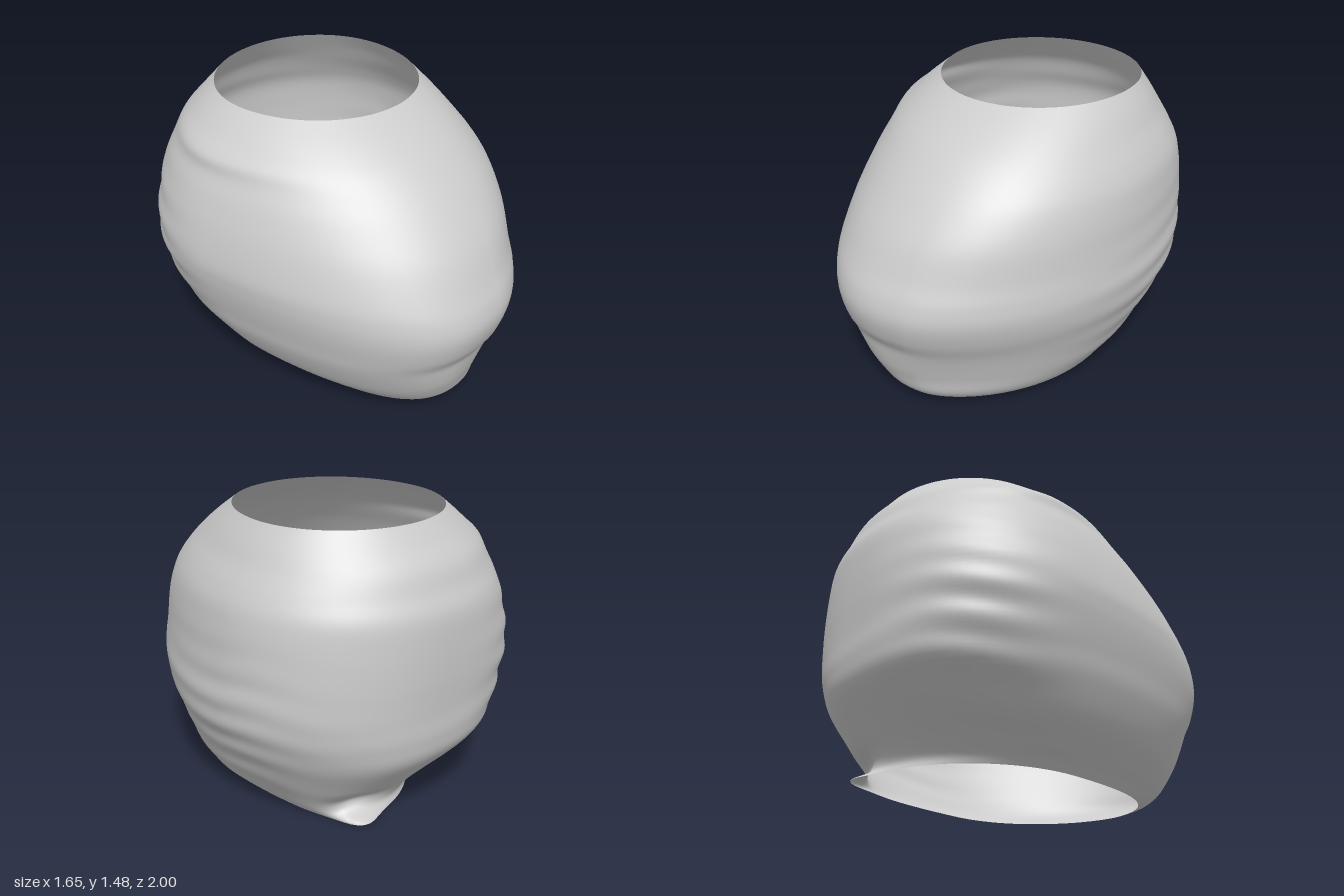
import * as THREE from 'three';

// Extents of the horizontal cross-sections, bottom to top: y, left x, right x, back z, front z
const SECTIONS = [
  [0.00, -0.43, 0.49, -0.71, 0.67],
  [0.04, -0.47, 0.54, -0.70, 0.76],
  [0.10, -0.54, 0.59, -0.73, 0.82],
  [0.20, -0.64, 0.66, -0.81, 0.85],
  [0.36, -0.73, 0.74, -0.95, 0.91],
  [0.48, -0.77, 0.79, -0.985, 0.965],
  [0.60, -0.805, 0.815, -0.99, 0.995],
  [0.70, -0.825, 0.815, -0.995, 0.98],
  [0.80, -0.83, 0.81, -1.00, 0.935],
  [0.96, -0.80, 0.80, -1.00, 0.86],
  [1.10, -0.755, 0.78, -0.99, 0.76],
  [1.20, -0.71, 0.74, -0.95, 0.67],
  [1.30, -0.65, 0.68, -0.91, 0.56],
  [1.39, -0.57, 0.63, -0.84, 0.43],
  [1.48, -0.46, 0.57, -0.77, 0.28],
];

// Smoothly interpolated extents at t = 0..1
const columns = SECTIONS[0].map((_, k) =>
  new THREE.SplineCurve(SECTIONS.map((row, i) => new THREE.Vector2(i, row[k]))));
const sectionAt = (t) => columns.map((curve) => curve.getPoint(t).y);

// Smooth bump of height 1 at centre c with width w, and the same around the circle
const bump = (v, c, w) => Math.exp(-(((v - c) / w) ** 2));
const angleBump = (a, c, w) => Math.exp(-2 * (1 - Math.cos(a - c)) / (w * w));
const ease = THREE.MathUtils.smoothstep;

// Surface ripples: horizontal folds on the flanks, a lip at the front, a shoulder, a rim flap
function relief(a, y) {
  const edgeFade = Math.min(1, y / 0.15) * Math.min(1, (1.48 - y) / 0.15);
  const leftFolds = angleBump(a, 3.9, 0.4) * bump(y, 0.6, 0.4) * Math.sin(y * 38 + Math.sin(a * 4)) * 0.009;
  const rightFolds = angleBump(a, 6.2, 0.5) * bump(y, 0.45, 0.4) * Math.sin(y * 40 + Math.sin(a * 5)) * 0.006;
  const frontLip = angleBump(a, 1.8, 0.3) * (0.012 * bump(y, 0.22, 0.08) - 0.012 * bump(y, 0.39, 0.05));
  const shoulder = angleBump(a, 3.25, 0.5) * 0.03 * bump(y, 1.3, 0.05);
  const flap = 0.08 * angleBump(a, 4.98, 0.24) * (bump(y, 0, 0.03) - 0.6 * bump(y, 0.1, 0.05));
  return edgeFade * (leftFolds + rightFolds + frontLip + shoulder) + flap;
}

function shellGeometry(rows, sides) {
  const positions = [];
  const index = [];
  for (let j = 0; j <= rows; j++) {
    const [y, left, right, back, front] = sectionAt(j / rows);
    const cx = (left + right) / 2;
    const half = (right - left) / 2;
    // Widest point moves back with height; front tip and back corner sit off-centre low down
    const zc = -0.28 * Math.sin(Math.min(1, y / 0.9) * Math.PI / 2);
    const tipSkew = -0.12 * (1 - ease(y, 0.3, 1.3));
    const backSkew = 0.15 * (1 - ease(y, 0, 0.5));
    // Outline roundness: flatter at the front right, squarer elsewhere
    const flat = 1.15 - 0.17 * ease(y, 0.3, 1.48);
    const square = 0.9 - 0.1 * ease(y, 0, 0.6) + 0.2 * ease(y, 0.65, 1.48);
    for (let i = 0; i < sides; i++) {
      const a = (i / sides) * Math.PI * 2;
      const c = Math.cos(a);
      const s = Math.sin(a);
      const isFront = s > 0;
      const cc = Math.sign(c) * Math.abs(c) ** (isFront && c > 0 ? flat : square);
      const push = relief(a, y);
      const x = cx + half * cc + (isFront ? tipSkew : backSkew) * s * s;
      const z = zc + s * (isFront ? front - zc : zc - back);
      positions.push(x + c * push, Math.max(0, y), z + s * push);
      if (j < rows) {
        const n = (i + 1) % sides;
        const p = j * sides + i;
        const q = j * sides + n;
        index.push(p, p + sides, q, q, p + sides, q + sides);
      }
    }
  }
  const geometry = new THREE.BufferGeometry();
  geometry.setAttribute('position', new THREE.Float32BufferAttribute(positions, 3));
  geometry.setIndex(index);
  geometry.computeVertexNormals();
  return geometry;
}

export function createModel() {
  const group = new THREE.Group();
  group.name = 'openShell';
  // Thin hollow shell, open at the top and the bottom
  const material = new THREE.MeshStandardMaterial({ color: 0xcccccc, side: THREE.DoubleSide });
  const shell = new THREE.Mesh(shellGeometry(84, 96), material);
  shell.name = 'shellWall';
  group.add(shell);
  return group;
}
